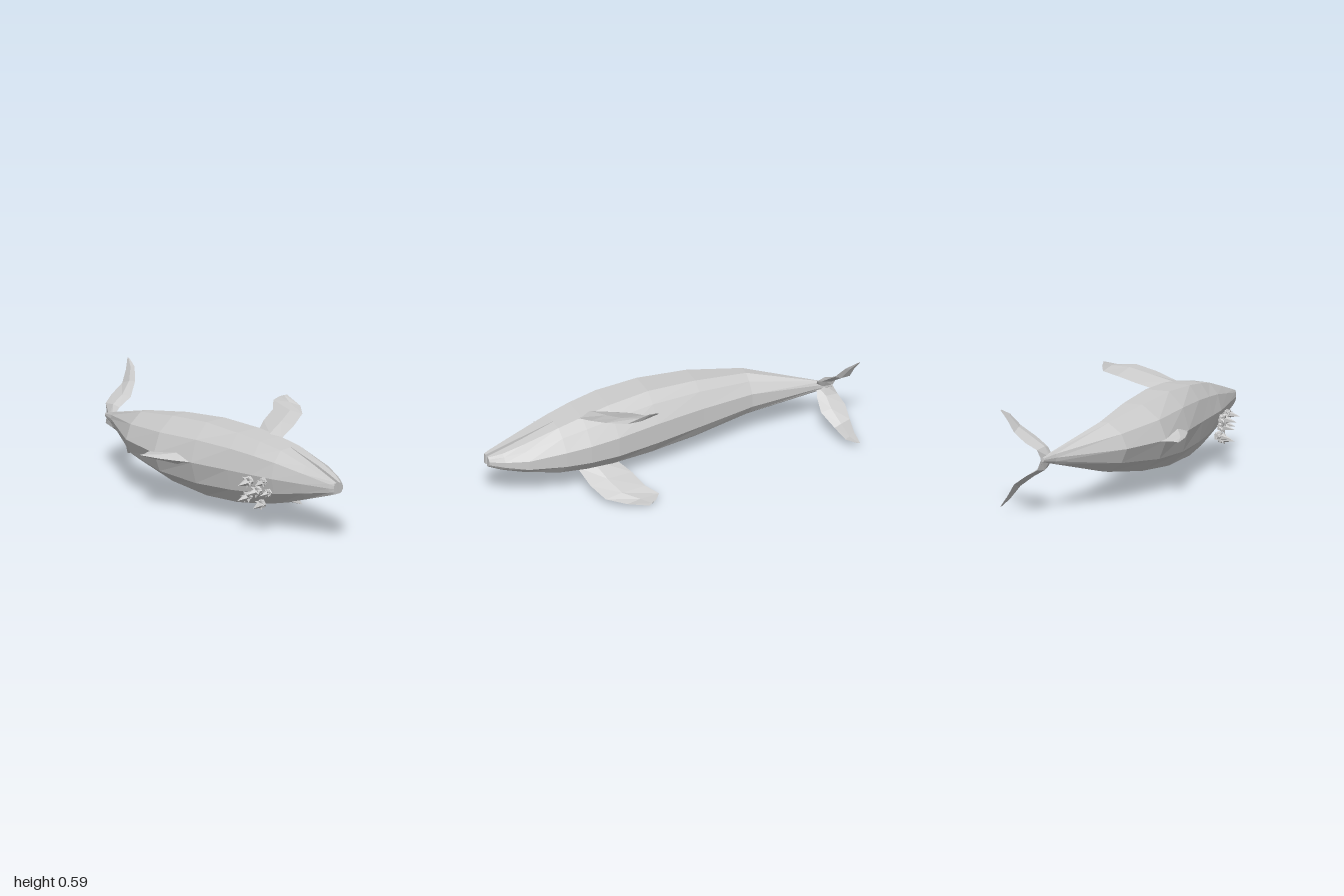
import * as THREE from 'three';
import { mergeGeometries } from 'three/addons/utils/BufferGeometryUtils.js';

const MID = 0.295; // height of the mirror plane: the whale lies on its side
const V = (x, y, z) => new THREE.Vector3(x, y, z);
const mat = new THREE.MeshStandardMaterial({ color: 0xcccccc, flatShading: true });
const finMat = new THREE.MeshStandardMaterial({ color: 0xcccccc, flatShading: true, side: THREE.DoubleSide });

// Skin between rings of equal length, closed by a fan at both ends
function loft(rings) {
  const n = rings[0].length, pos = [];
  const tri = (...p) => p.forEach(v => pos.push(v.x, v.y, v.z));
  for (let i = 0; i < rings.length - 1; i++) {
    for (let j = 0; j < n; j++) {
      const k = (j + 1) % n;
      const a = rings[i][j], b = rings[i][k], c = rings[i + 1][k], d = rings[i + 1][j];
      tri(a, d, c);
      tri(a, c, b);
    }
  }
  for (const [ring, front] of [[rings[0], false], [rings[rings.length - 1], true]]) {
    const c = ring.reduce((s, p) => s.add(p), V(0, 0, 0)).divideScalar(n);
    for (let j = 0; j < n; j++) {
      const k = (j + 1) % n;
      if (front) tri(c, ring[k], ring[j]);
      else tri(c, ring[j], ring[k]);
    }
  }
  const g = new THREE.BufferGeometry();
  g.setAttribute('position', new THREE.Float32BufferAttribute(pos, 3));
  g.computeVertexNormals();
  return g;
}

// Full ring from one half given as [x, offset from the mirror plane]
function ring(z, half) {
  const other = half.filter(p => p[1] > 0).reverse();
  return [...half.map(p => V(p[0], MID + p[1], z)), ...other.map(p => V(p[0], MID - p[1], z))];
}

const backHalf = (xd, x1, h) => [[xd, 0], [xd + 0.3 * (x1 - xd), 0.58 * h], [x1, 0.98 * h]];
const bellyHalf = (x2, xb, h) => [[x2, 0.98 * h], [(x2 + xb) / 2, 0.74 * h], [xb, 0.3 * h]];

// Diamond-section fin: each section is [leading edge, trailing edge, half thickness]
function finRings(sections, normal) {
  return sections.map(([l, t, th]) => {
    const lead = V(...l), trail = V(...t);
    const mid = lead.clone().lerp(trail, 0.4);
    const off = normal.clone().normalize().multiplyScalar(th);
    return [lead, mid.clone().add(off), trail, mid.clone().sub(off)];
  });
}
const mirrorRings = rings => rings.map(r => r.map(p => V(p.x, 2 * MID - p.y, p.z)).reverse());

// Barnacle: a small crown of pointed cones around a longer one
function barnacle(size, axis, seed) {
  const parts = [];
  const spike = (dir, len, rad) => {
    const c = new THREE.ConeGeometry(rad, len, 5);
    c.translate(0, len / 2 - 0.012, 0);
    c.applyQuaternion(new THREE.Quaternion().setFromUnitVectors(V(0, 1, 0), dir.normalize()));
    parts.push(c);
  };
  spike(axis.clone(), size * 2, size * 0.6);
  const side = V(0, 0, 1).cross(axis).normalize();
  for (let i = 0; i < 5; i++) {
    const dir = side.clone().applyAxisAngle(axis.clone().normalize(), seed + i * Math.PI * 0.4);
    spike(dir.addScaledVector(axis, 0.6), size * 1.15, size * 0.55);
  }
  return mergeGeometries(parts);
}

export function createModel() {
  const whale = new THREE.Group();
  whale.name = 'whale';
  const add = (name, geo, material = mat) => {
    const m = new THREE.Mesh(geo, material);
    m.name = name;
    whale.add(m);
    return m;
  };

  // Trunk from tail stock to mouth corner: z, back, upper edge, lower edge, belly, half width
  add('body', loft([
    [-0.94, 0.12, 0.125, 0.13, 0.14, 0.012],
    [-0.86, 0.085, 0.1, 0.108, 0.12, 0.035],
    [-0.5, -0.16, -0.05, 0.0, 0.075, 0.135],
    [-0.2, -0.25, -0.11, 0.0, 0.095, 0.182],
    [0.08, -0.25, -0.135, 0.0, 0.12, 0.204],
    [0.32, -0.222, -0.145, 0.01, 0.14, 0.193],
    [0.48, -0.205, -0.135, 0.018, 0.137, 0.172],
    [0.62, -0.19, -0.12, 0.02, 0.12, 0.147],
  ].map(([z, xd, x1, x2, xb, h]) => ring(z, [...backHalf(xd, x1, h), ...bellyHalf(x2, xb, h)]))));

  // Jaws with an open slit between them
  add('upperJaw', loft([
    [0.62, -0.19, -0.12, -0.045, 0.147],
    [0.8, -0.15, -0.11, -0.06, 0.093],
    [0.97, -0.112, -0.1, -0.077, 0.04],
    [1.0, -0.1, -0.095, -0.08, 0.03],
  ].map(([z, xd, x1, xm, h]) => ring(z, [...backHalf(xd, x1, h), [xm, h]]))));
  add('lowerJaw', loft([
    [0.62, -0.042, 0.02, 0.12, 0.147],
    [0.82, -0.045, 0.0, 0.078, 0.088],
    [0.93, -0.054, -0.02, 0.018, 0.053],
    [1.0, -0.062, -0.052, -0.033, 0.03],
  ].map(([z, xm, x2, xb, h]) => ring(z, [[xm, h], ...bellyHalf(x2, xb, h)]))));

  // Pectoral fins
  const flipper = finRings([
    [[0.0, 0.455, 0.5], [0.015, 0.44, 0.3], 0.025],
    [[0.12, 0.506, 0.48], [0.13, 0.486, 0.24], 0.014],
    [[0.22, 0.543, 0.44], [0.228, 0.522, 0.21], 0.011],
    [[0.295, 0.555, 0.35], [0.285, 0.553, 0.157], 0.009],
    [[0.315, 0.59, 0.23], [0.303, 0.575, 0.185], 0.002],
  ], V(-0.35, 0.93, 0));

  // Tail flukes
  const fluke = finRings([
    [[0.1, 0.295, -0.865], [0.135, 0.29, -0.94], 0.012],
    [[0.14, 0.35, -0.85], [0.15, 0.35, -0.965], 0.012],
    [[0.21, 0.395, -0.838], [0.21, 0.385, -0.98], 0.011],
    [[0.285, 0.46, -0.88], [0.28, 0.435, -0.972], 0.009],
    [[0.325, 0.525, -0.925], [0.315, 0.5, -0.98], 0.006],
    [[0.345, 0.555, -0.985], [0.347, 0.556, -1.0], 0.001],
  ], V(-0.65, 0.75, 0));

  for (const [name, rings] of [['PectoralFin', flipper], ['Fluke', fluke]]) {
    add('upper' + name, loft(rings), finMat);
    add('lower' + name, loft(mirrorRings(rings)), finMat);
  }

  // Dorsal fin
  add('dorsalFin', loft(finRings([
    [[-0.22, MID, 0.13], [-0.235, MID, -0.245], 0.035],
    [[-0.275, MID, 0.01], [-0.27, MID, -0.235], 0.02],
    [[-0.312, MID, -0.1], [-0.3, MID, -0.222], 0.011],
    [[-0.332, MID, -0.215], [-0.326, MID, -0.228], 0.003],
  ], V(0, -1, 0))), finMat);

  // Barnacles clustered on one side of the head
  [
    [-0.25, 0.275, 0.51, 0.047],
    [-0.235, 0.285, 0.6, 0.04],
    [-0.225, 0.225, 0.55, 0.046],
    [-0.235, 0.185, 0.49, 0.046],
    [-0.215, 0.155, 0.57, 0.042],
    [-0.215, 0.225, 0.62, 0.036],
  ].forEach(([x, y, z, s], i) => {
    add('barnacle' + (i + 1), barnacle(s, V(-1, -0.15, 0.12 * Math.sin(i * 2)).normalize(), i * 0.7)).position.set(x, y, z);
  });

  return whale;
}
